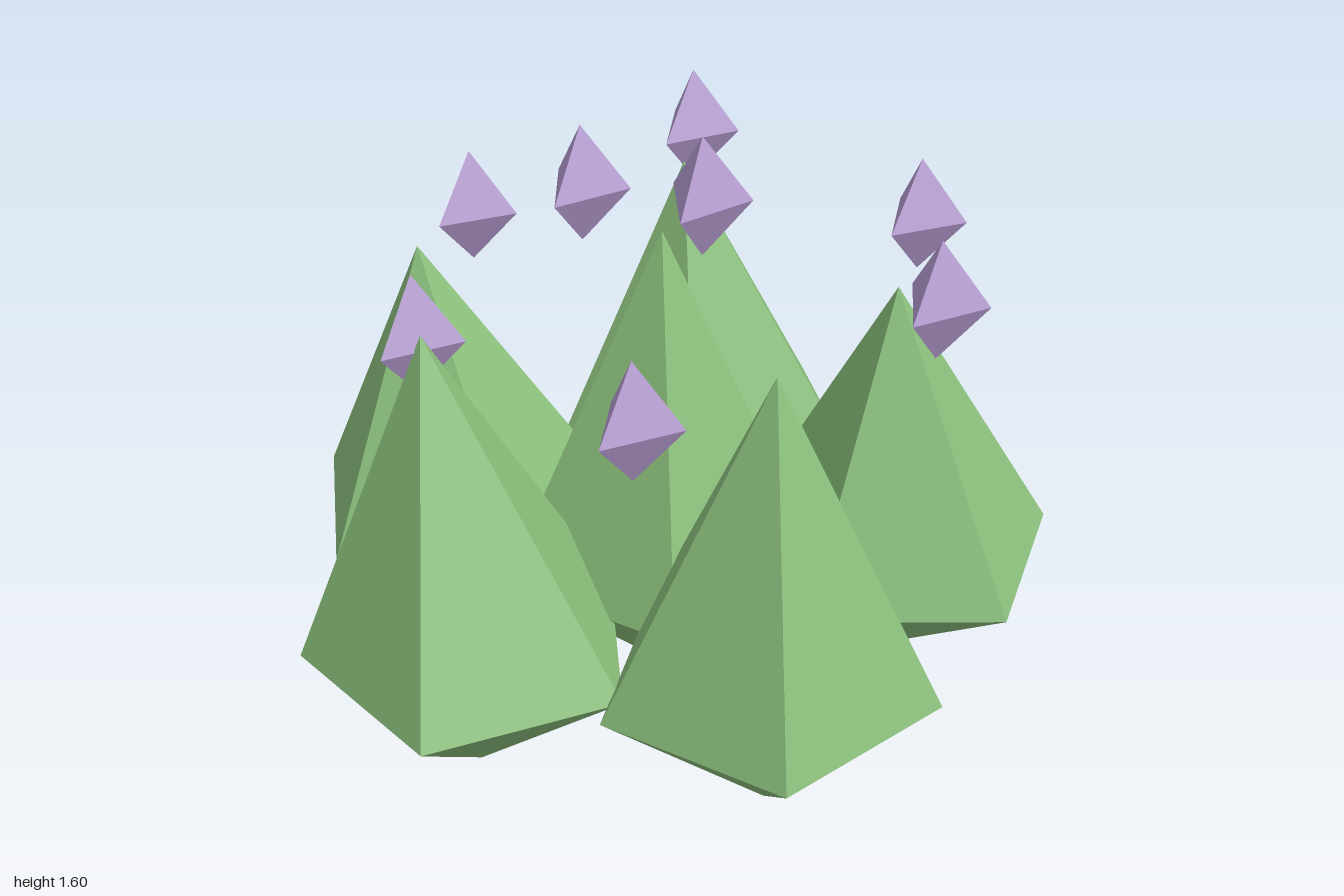
import * as THREE from 'three';

const leafGreen = new THREE.MeshStandardMaterial({ color: 0x8cc17d, flatShading: true });
leafGreen.name = 'leafGreen';
const softPurple = new THREE.MeshStandardMaterial({ color: 0xb49bd0, flatShading: true });
softPurple.name = 'softPurple';

// Double pyramid: bottom tip at the origin, rim of n corners, top tip shifted sideways.
// The first rim corner lies at the given angle, measured from +x towards +z.
function doublePyramid(n, radius, rimY, height, degrees, leanX = 0, leanZ = 0) {
  const profile = [[0, 0], [radius, rimY], [0, height]].map(([x, y]) => new THREE.Vector2(x, y));
  const start = Math.PI / 2 - THREE.MathUtils.degToRad(degrees);
  const geometry = new THREE.LatheGeometry(profile, n, start);
  const pos = geometry.attributes.position;
  for (let i = 0; i < pos.count; i++) {
    if (pos.getY(i) > height - 1e-4) pos.setXYZ(i, leanX, height, leanZ);
  }
  geometry.computeVertexNormals();
  return geometry;
}

// Leaves: base x, base z, height, corner angle, tip x, tip z
const leaves = [
  ['centreLeaf', -0.064, -0.01, 1.345, 90, -0.064, 0.07],
  ['frontLeaf', 0.147, 0.561, 1.28, 90, 0.147, 0.652],
  ['backLeaf', 0.113, -0.614, 1.215, -44.5, 0.04, -0.556],
  ['rightBackLeaf', -0.578, -0.367, 1.11, 213.2, -0.66, -0.34],
  ['rightFrontLeaf', -0.552, 0.355, 1.25, 180, -0.64, 0.355],
  ['leftLeaf', 0.558, -0.04, 1.15, -13.8, 0.517, 0.042],
];

// Floating buds: x, z, rim height, corner angle
const buds = [
  [0.03, 0.092, 1.428, 0],
  [-0.245, -0.157, 1.35, 5],
  [0.558, 0.348, 1.268, 9],
  [-0.656, 0.293, 1.205, 9],
  [0.077, -0.707, 1.235, 11],
  [-0.175, 0.662, 1.172, 11],
  [-0.52, -0.527, 1.11, 14],
  [0.623, -0.297, 1.155, 15],
];

export function createModel() {
  const model = new THREE.Group();
  model.name = 'succulentCluster';

  for (const [name, x, z, height, angle, tipX, tipZ] of leaves) {
    const geometry = doublePyramid(5, 0.431, height * 0.283, height, angle, tipX - x, tipZ - z);
    const leaf = new THREE.Mesh(geometry, leafGreen);
    leaf.name = name;
    leaf.position.set(x, 0, z);
    model.add(leaf);
  }

  const budGroup = new THREE.Group();
  budGroup.name = 'floatingBuds';
  buds.forEach(([x, z, rimY, angle], i) => {
    const bud = new THREE.Mesh(doublePyramid(3, 0.121, 0.142, 0.313, angle), softPurple);
    bud.name = `bud${i + 1}`;
    bud.position.set(x, rimY - 0.142, z);
    budGroup.add(bud);
  });
  model.add(budGroup);

  return model;
}
